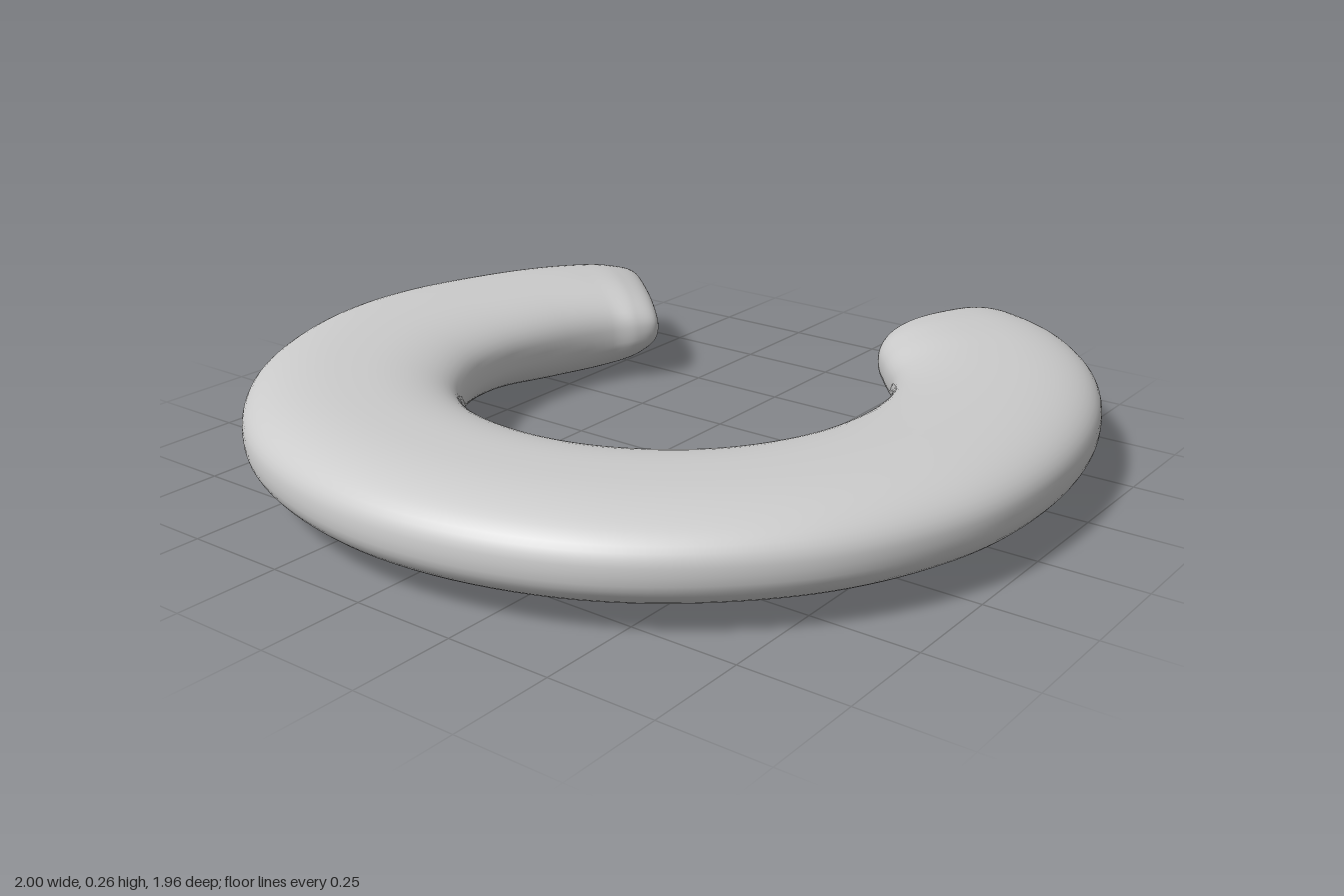
import * as THREE from 'three';

// Stations along the open ring, from the right-hand tip round the front to the left-hand tip:
// outer x, outer z, inner x, inner z, bottom y, top y
const stations = [
  [-0.61, -0.70, -0.375, -0.485, 0.135, 0.14],
  [-0.67, -0.73, -0.347, -0.435, 0.07, 0.21],
  [-0.73, -0.67, -0.368, -0.385, 0.03, 0.24],
  [-0.82, -0.545, -0.41, -0.33, 0.008, 0.252],
  [-0.93, -0.31, -0.455, -0.2, 0.004, 0.257],
  [-0.998, -0.03, -0.475, 0, 0.022, 0.258],
  [-0.965, 0.25, -0.44, 0.17, 0.03, 0.258],
  [-0.79, 0.59, -0.33, 0.34, 0.034, 0.258],
  [-0.46, 0.865, -0.18, 0.435, 0.035, 0.258],
  [0, 0.975, 0, 0.465, 0.035, 0.258],
  [0.46, 0.865, 0.18, 0.435, 0.035, 0.258],
  [0.8, 0.58, 0.36, 0.32, 0.035, 0.258],
  [0.965, 0.25, 0.47, 0.14, 0.035, 0.258],
  [1, -0.07, 0.505, -0.06, 0.036, 0.258],
  [0.945, -0.4, 0.48, -0.25, 0.038, 0.258],
  [0.82, -0.665, 0.42, -0.375, 0.045, 0.258],
  [0.66, -0.84, 0.345, -0.46, 0.055, 0.258],
  [0.53, -0.92, 0.292, -0.525, 0.07, 0.253],
  [0.43, -0.963, 0.268, -0.59, 0.09, 0.24],
  [0.36, -0.98, 0.264, -0.64, 0.12, 0.215],
  [0.31, -0.95, 0.27, -0.7, 0.164, 0.168],
];

// Superellipse coordinate
const bulge = (v, n) => Math.sign(v) * Math.pow(Math.abs(v), 2 / n);

// Loft a rounded, flattened section between an outer and an inner guide curve
function loft(steps, sides, power) {
  const outer = new THREE.CatmullRomCurve3(stations.map(s => new THREE.Vector3(s[0], s[5], s[1])));
  const inner = new THREE.CatmullRomCurve3(stations.map(s => new THREE.Vector3(s[2], s[4], s[3])));
  const positions = [], index = [];
  for (let i = 0; i <= steps; i++) {
    const o = outer.getPoint(i / steps), n = inner.getPoint(i / steps);
    const mid = o.clone().add(n).multiplyScalar(0.5);
    const half = o.clone().sub(n).multiplyScalar(0.5);
    for (let j = 0; j < sides; j++) {
      const a = (j / sides) * Math.PI * 2;
      const c = bulge(Math.cos(a), power), s = bulge(Math.sin(a), power);
      positions.push(mid.x + half.x * c, Math.max(0, mid.y + half.y * s), mid.z + half.z * c);
      if (i < steps) {
        const k = (j + 1) % sides, p = i * sides, q = p + sides;
        index.push(p + j, q + j, q + k, p + j, q + k, p + k);
      }
    }
  }
  const geometry = new THREE.BufferGeometry();
  geometry.setAttribute('position', new THREE.Float32BufferAttribute(positions, 3));
  geometry.setIndex(index);
  geometry.computeVertexNormals();
  return geometry;
}

export function createModel() {
  const group = new THREE.Group();
  group.name = 'openRing';
  const material = new THREE.MeshStandardMaterial({ color: 0xcccccc, side: THREE.DoubleSide });
  // Single smooth C-shaped body with tapered tips
  const ring = new THREE.Mesh(loft(200, 56, 2.45), material);
  ring.name = 'ringBody';
  group.add(ring);
  return group;
}
